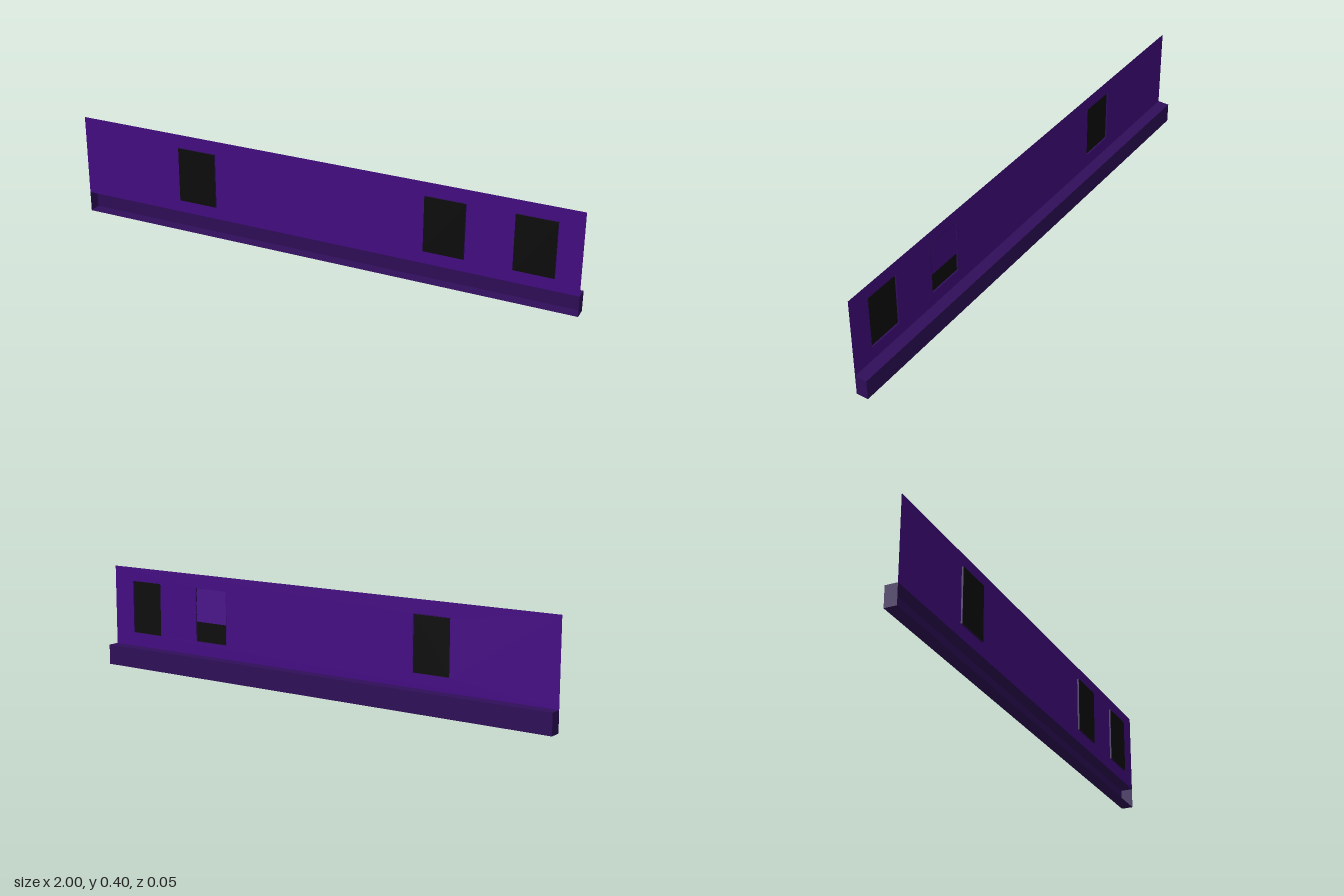
import * as THREE from 'three';

const WALL_Z = 0.02, FRONT = 0.027, BACK = -0.027;
const SKIRT_TOP = 0.08, TOP = 0.4;
const WIN_BOTTOM = 0.131, WIN_TOP = 0.348, RIM = 0.003;

function material(name, color) {
  const m = new THREE.MeshStandardMaterial({ color, side: THREE.DoubleSide });
  m.name = name;
  return m;
}

export function createModel() {
  const model = new THREE.Group();
  model.name = 'windowPanel';
  const purple = material('purple', 0x460c86);
  const darkPurple = material('dark purple', 0x300e5a);
  const black = material('black', 0x0d0d0d);

  function add(parent, name, geometry, mat, x = 0, y = 0, z = 0, rx = 0, ry = 0) {
    const mesh = new THREE.Mesh(geometry, mat);
    mesh.name = name;
    mesh.position.set(x, y, z);
    mesh.rotation.set(rx, ry, 0);
    parent.add(mesh);
    return mesh;
  }

  function rectangle(Kind, x0, x1, y0, y1) {
    return new Kind([[x0, y0], [x1, y0], [x1, y1], [x0, y1]].map(p => new THREE.Vector2(...p)));
  }

  const windows = [
    { x0: -0.58, x1: -0.425 },
    { x0: 0.42, x1: 0.575, blind: true },
    { x0: 0.756, x1: 0.908 },
  ];

  // Thin wall sheet with window openings
  const sheet = rectangle(THREE.Shape, -1, 1, SKIRT_TOP, TOP);
  for (const w of windows) {
    sheet.holes.push(rectangle(THREE.Path, w.x0 + RIM, w.x1 - RIM, WIN_BOTTOM + RIM, WIN_TOP - RIM));
  }
  add(model, 'wall', new THREE.ShapeGeometry(sheet), purple, 0, 0, WALL_Z);

  // Skirt channel along the bottom, open at the front
  const skirt = new THREE.Group();
  skirt.name = 'skirt';
  model.add(skirt);
  const depth = WALL_Z - BACK, midZ = (WALL_Z + BACK) / 2;
  add(skirt, 'skirtBack', new THREE.PlaneGeometry(2, SKIRT_TOP), darkPurple, 0, SKIRT_TOP / 2, BACK, 0, Math.PI);
  add(skirt, 'skirtTop', new THREE.PlaneGeometry(2, depth), darkPurple, 0, SKIRT_TOP, midZ, -Math.PI / 2);
  add(skirt, 'skirtBottom', new THREE.PlaneGeometry(2, depth), darkPurple, 0, 0, midZ, Math.PI / 2);
  for (const side of [-1, 1]) {
    add(skirt, 'skirtEnd', new THREE.PlaneGeometry(depth, SKIRT_TOP), darkPurple,
      side, SKIRT_TOP / 2, midZ, 0, side * Math.PI / 2);
  }

  for (const w of windows) {
    const group = new THREE.Group();
    group.name = 'window';
    model.add(group);
    const width = w.x1 - w.x0, height = WIN_TOP - WIN_BOTTOM;
    const x = (w.x0 + w.x1) / 2, y = (WIN_TOP + WIN_BOTTOM) / 2;

    // Shallow frame standing proud of the wall
    const frame = rectangle(THREE.Shape, w.x0, w.x1, WIN_BOTTOM, WIN_TOP);
    frame.holes.push(rectangle(THREE.Path, w.x0 + RIM, w.x1 - RIM, WIN_BOTTOM + RIM, WIN_TOP - RIM));
    add(group, 'windowFrame',
      new THREE.ExtrudeGeometry(frame, { depth: FRONT - WALL_Z - 0.0005, bevelEnabled: false }),
      darkPurple, 0, 0, WALL_Z);
    add(group, 'windowPane', new THREE.PlaneGeometry(width, height), black, x, y, FRONT);

    // Half-lowered blind of slightly tilted slats, seen from behind
    if (w.blind) {
      const slats = 4, top = WIN_TOP - RIM, slatHeight = (top - 0.213) / slats;
      for (let i = 0; i < slats; i++) {
        add(group, 'blindSlat', new THREE.PlaneGeometry(width - 2 * RIM, slatHeight), purple,
          x, top - (i + 0.5) * slatHeight, 0.0235, 0.12);
      }
    }
  }
  return model;
}
